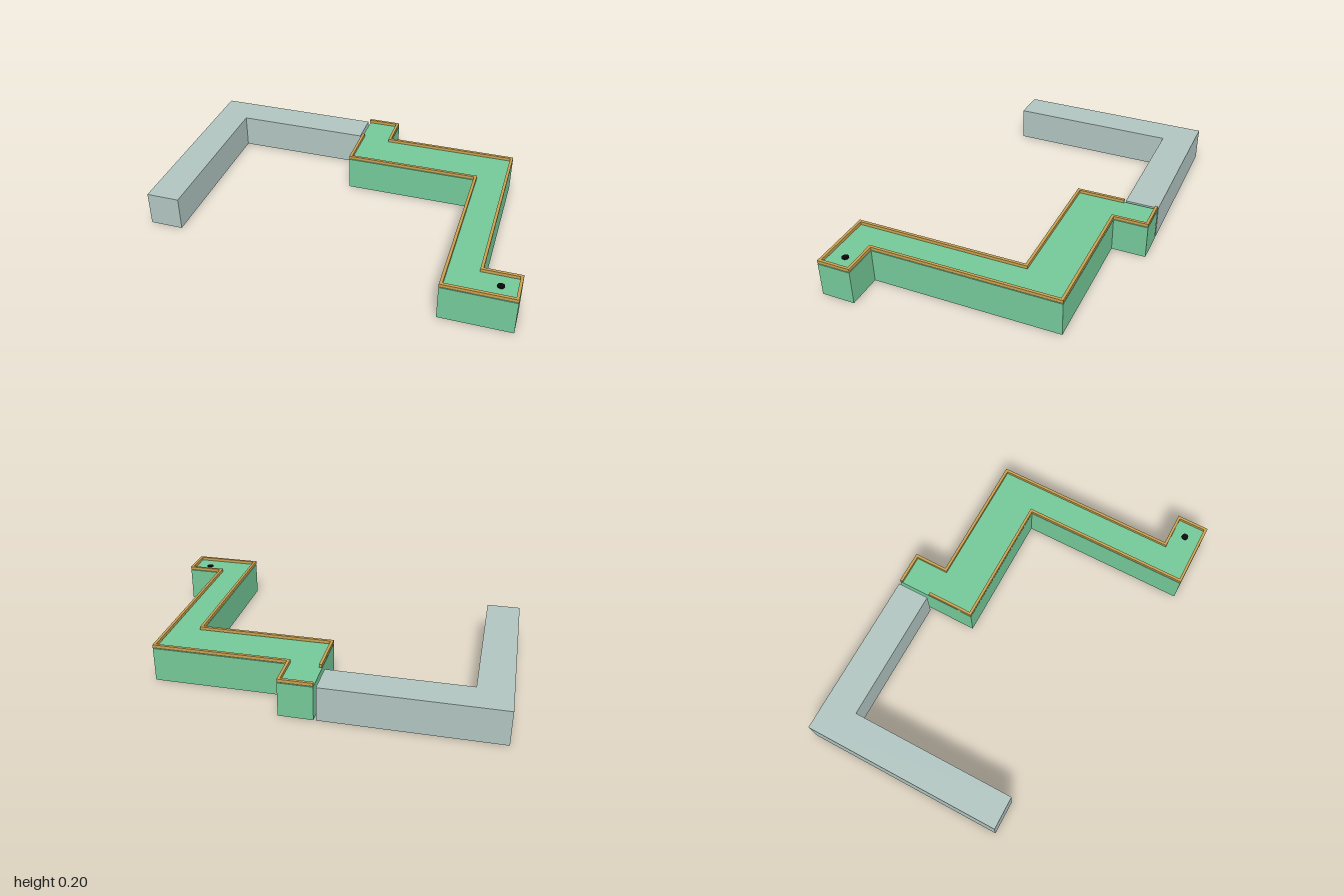
import * as THREE from 'three';

const HEIGHT = 0.184;
const RIM = 0.015;

// Extrudes a plan outline of [x, z] points upwards from height y
function slab(name, points, y, height, color) {
  const shape = new THREE.Shape(points.map(([x, z]) => new THREE.Vector2(x, -z)));
  const geometry = new THREE.ExtrudeGeometry(shape, { depth: height, bevelEnabled: false });
  geometry.rotateX(-Math.PI / 2);
  const mesh = new THREE.Mesh(geometry, new THREE.MeshStandardMaterial({ color }));
  mesh.name = name;
  mesh.position.y = y;
  return mesh;
}

// Shifts an open right-angled path sideways, towards the inside of the plan
function inset(path, d) {
  const normal = (a, b) => {
    const dx = b[0] - a[0], dz = b[1] - a[1], l = Math.hypot(dx, dz);
    return [-dz / l, dx / l];
  };
  return path.map((p, i) => {
    const before = i > 0 ? normal(path[i - 1], p) : [0, 0];
    const after = i < path.length - 1 ? normal(p, path[i + 1]) : [0, 0];
    return [p[0] + d * (before[0] + after[0]), p[1] + d * (before[1] + after[1])];
  });
}

export function createModel() {
  const group = new THREE.Group();
  group.name = 'corridorModel';

  // Plain L-shaped wing
  const wing = [
    [-1, -0.68], [-0.09, -0.68], [-0.09, -0.503], [-0.822, -0.503], [-0.822, 0.41], [-1, 0.41],
  ];
  group.add(slab('plainWing', wing, 0, HEIGHT, 0xb0c4c0));

  // Stepped main block
  const outline = [
    [-0.076, -0.68], [0.102, -0.68], [0.102, -0.497], [0.812, -0.497], [0.812, 0.503],
    [1, 0.503], [1, 0.68], [0.634, 0.68], [0.634, -0.238], [-0.076, -0.238],
  ];
  group.add(slab('mainBlock', outline, 0, HEIGHT, 0x74c898));

  // Thin rim floating just above the block, open towards the wing
  const path = [...outline, [-0.076, -0.5]];
  const rim = [...path, ...inset(path, RIM).reverse()];
  group.add(slab('rim', rim, HEIGHT + 0.004, 0.017, 0xc8a050));

  // Round marker on the end of the block
  const marker = new THREE.Mesh(
    new THREE.CylinderGeometry(0.018, 0.018, 0.005, 32),
    new THREE.MeshStandardMaterial({ color: 0x080808 }),
  );
  marker.name = 'marker';
  marker.position.set(0.906, HEIGHT + 0.0025, 0.587);
  group.add(marker);

  return group;
}
